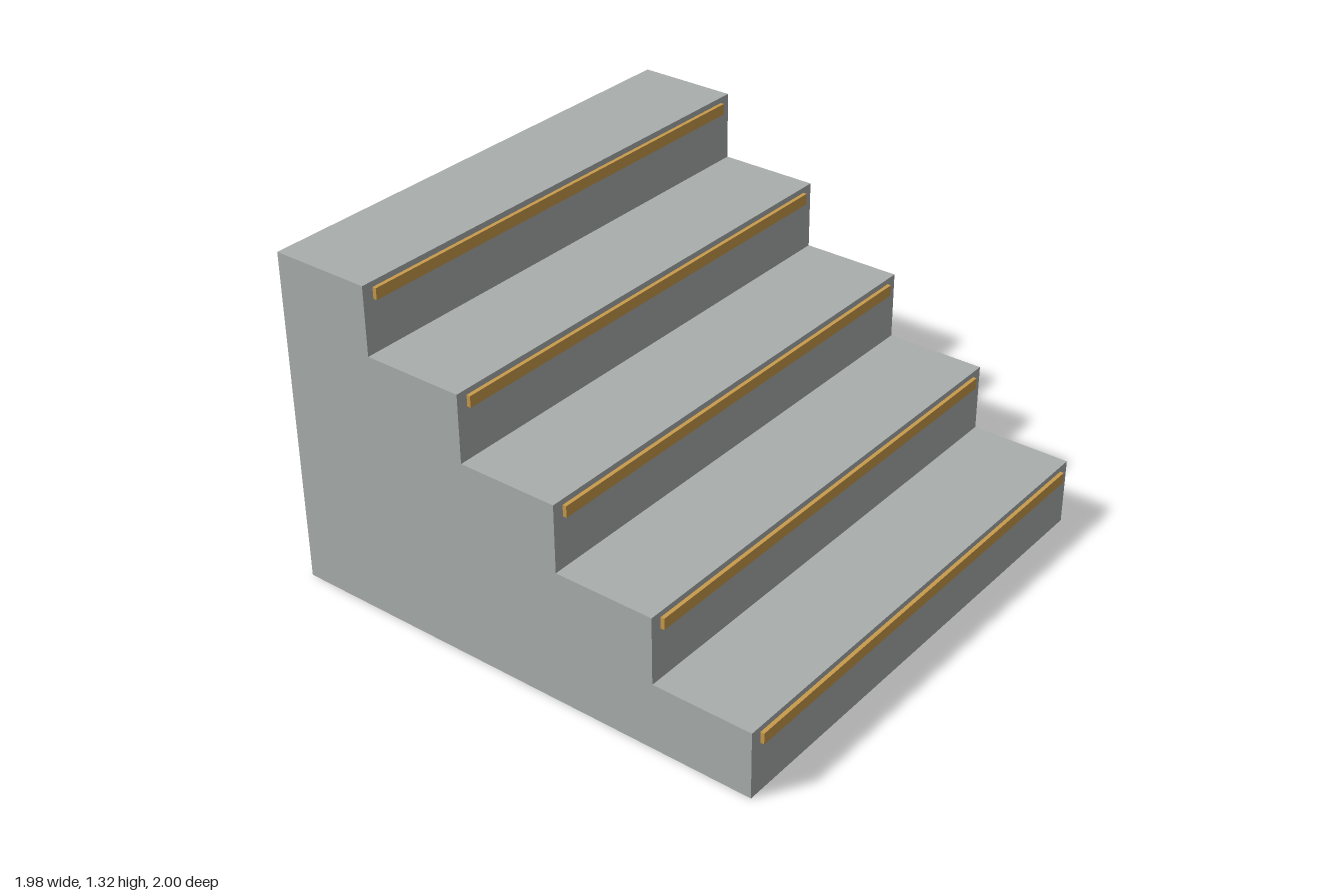
import * as THREE from 'three';

const STEPS = 5;
const RISE = 0.2646;
const RUN = 0.397;
const WIDTH = 1.976;
const BACK = -1;
const FRONT = BACK + STEPS * RUN;

export function createModel() {
  const model = new THREE.Group();
  model.name = 'staircase';
  const stone = new THREE.MeshStandardMaterial({ color: 0xcccccc, flatShading: true });
  stone.color.set(0xa9aeac);
  const brass = new THREE.MeshStandardMaterial({ color: 0xc99a4b, flatShading: true });

  // Solid stepped body: side profile (drawn in z, y) extruded across the width
  const profile = new THREE.Shape();
  profile.moveTo(BACK, 0);
  profile.lineTo(FRONT, 0);
  for (let i = 0; i < STEPS; i++) {
    profile.lineTo(FRONT - i * RUN, (i + 1) * RISE);
    profile.lineTo(FRONT - (i + 1) * RUN, (i + 1) * RISE);
  }
  profile.closePath();
  const bodyGeometry = new THREE.ExtrudeGeometry(profile, { depth: WIDTH, bevelEnabled: false });
  bodyGeometry.translate(0, 0, -WIDTH / 2);
  bodyGeometry.rotateY(-Math.PI / 2); // profile x becomes +z
  const body = new THREE.Mesh(bodyGeometry, stone);
  body.name = 'steps';
  model.add(body);

  // Edge strip near the top of each riser, slightly sunk into it
  const stripGeometry = new THREE.BoxGeometry(1.885, 0.044, 0.02);
  for (let i = 0; i < STEPS; i++) {
    const strip = new THREE.Mesh(stripGeometry, brass);
    strip.name = `edgeStrip${i + 1}`;
    strip.position.set(0, (i + 1) * RISE - 0.044, FRONT - i * RUN + 0.005);
    model.add(strip);
  }
  return model;
}
